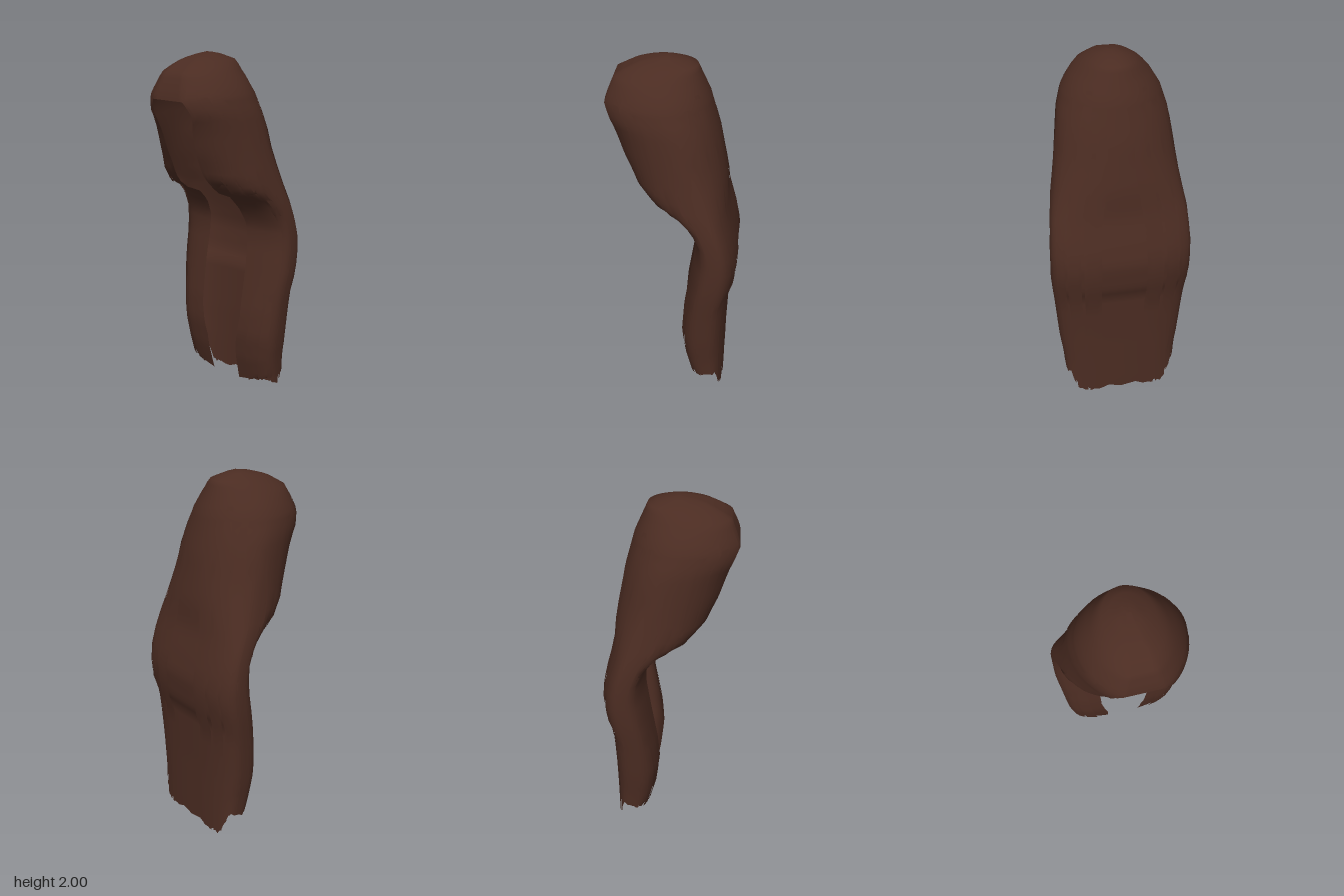
import * as THREE from 'three';
import { toCreasedNormals } from 'three/addons/utils/BufferGeometryUtils.js';

// Profiles as [height, value] pairs, from the crown down
const WIDTH = [[2, 0.02], [1.985, 0.07], [1.95, 0.145], [1.88, 0.21], [1.8, 0.26], [1.7, 0.29], [1.6, 0.305], [1.4, 0.33],
  [1.2, 0.365], [1, 0.38], [0.8, 0.38], [0.6, 0.36], [0.4, 0.345], [0.2, 0.325], [0, 0.315]];
const FRONT = [[2, 0.05], [1.99, 0.12], [1.97, 0.2], [1.91, 0.31], [1.84, 0.34], [1.78, 0.36], [1.68, 0.315], [1.5, 0.26],
  [1.36, 0.2], [1.27, 0.12], [1.22, 0], [1.15, -0.07], [1.05, -0.12], [0.95, -0.12], [0.75, -0.09], [0.55, -0.06],
  [0.4, -0.05], [0.2, -0.07], [0, -0.11]];
const BACK = [[2, 0.04], [1.99, -0.02], [1.96, -0.11], [1.8, -0.18], [1.6, -0.235], [1.35, -0.28], [1.2, -0.29], [1.05, -0.33],
  [0.93, -0.355], [0.76, -0.34], [0.7, -0.31], [0.4, -0.3], [0, -0.295]];
const SQUARENESS = [[1.5, 2], [1.1, 2.8], [0, 3]];
const WIDEST = [[1.9, 0.5], [1.6, 0.42], [1.3, 0.4], [1.1, 0.5]]; // share of the depth, from the back
const OPENING = [[2, 0.01], [1.96, 0.05], [1.78, 0.1], [1.71, 0.14], [1.6, 0.11], [1.4, 0.1], [1.3, 0.12], [1.2, 0.11],
  [1, 0.14], [0.8, 0.15], [0.5, 0.145], [0.3, 0.11], [0, 0.1]];
const HAIRLINE = 1.775;
const OUT = 22, FRINGE = 4;

function at(profile, y) {
  if (y >= profile[0][0]) return profile[0][1];
  for (let i = 1; i < profile.length; i++) {
    const [y0, v0] = profile[i - 1], [y1, v1] = profile[i];
    if (y >= y1) return v1 + (v0 - v1) * (y - y1) / (y0 - y1);
  }
  return profile[profile.length - 1][1];
}

function seeded(seed) {
  return () => (seed = (seed * 16807) % 2147483647) / 2147483647;
}

// Hair surface on the left half: u = 0 at the face opening, 1 at the middle of the back
function outer(u, y, grow = 0) {
  const w = at(WIDTH, y), f = at(FRONT, y), b = at(BACK, y), n = at(SQUARENESS, y), e = 2 / n;
  const edge = Math.asin(Math.pow(at(OPENING, y) / w, n / 2));
  const a = edge + (Math.PI - edge) * u;
  const c = Math.cos(a);
  const x = (w + grow) * Math.pow(Math.max(0, Math.sin(a)), e);
  const mid = b + (f - b) * at(WIDEST, y);
  const z = c > 0
    ? mid + (f - mid + grow) * Math.pow(c / Math.cos(edge), e)
    : mid - (mid - b + grow) * Math.pow(-c, e);
  return [x, z];
}

// Hem rises from the front locks to the sides, then drops to its longest at the back
const hem = u => (u < 0.62 ? 0.075 + 0.1 * u : Math.max(0, 0.137 * (0.73 - u) / 0.11));

// Grid of quads; wrap joins the last column to the first, skip leaves holes
function grid(rows, wrap, skip = () => false) {
  const cols = rows[0].length, index = [], last = wrap ? cols : cols - 1;
  for (let r = 0; r < rows.length - 1; r++) {
    for (let c = 0; c < last; c++) {
      if (skip(r, c)) continue;
      const a = r * cols + c, b = r * cols + (c + 1) % cols;
      index.push(a, a + cols, b, b, a + cols, b + cols);
    }
  }
  const g = new THREE.BufferGeometry();
  g.setAttribute('position', new THREE.Float32BufferAttribute(rows.flat(2), 3));
  g.setIndex(index);
  return g;
}

// One open sheet: closed round the crown, parted at the front below the hairline
function hairBody() {
  const ys = [2, 1.99, 1.975, 1.96, 1.935, 1.91, 1.88, 1.84, 1.8, 1.775];
  for (let y = 1.74; y > 0.02; y -= 0.04) ys.push(y);
  ys.push(0);
  const rand = seeded(77);
  const mirror = list => list.map(([x, y, z]) => [-x, y, z]);
  const rows = ys.map(y => {
    const drop = Math.max(0, 1 - y / 0.35);
    const fringe = [], half = [];
    for (let i = 0; i < FRINGE; i++) fringe.push([at(OPENING, y) * i / FRINGE, y, at(FRONT, y)]);
    for (let i = 0; i <= OUT; i++) {
      const u = i / OUT, [x, z] = outer(u, y);
      half.push([x, y + drop * hem(u) + (y === 0 ? 0.03 * rand() : 0), z]);
    }
    return [...fringe, ...half, ...mirror(half.slice(0, -1)).reverse(), ...mirror(fringe.slice(1)).reverse()];
  });
  rows.unshift(rows[0].map(() => [0, 2, 0.045]));
  const parted = (r, c) => rows[r][0][1] <= HAIRLINE && (c < FRINGE || c >= FRINGE + 2 * OUT);
  return toCreasedNormals(grid(rows, true, parted), 0.9);
}

// Thin lock lying on the hair surface, with a ragged tip
function lock(u0, u1, top, bottom, side, rand) {
  const rows = [], N = 18, M = 4;
  for (let r = 0; r <= N; r++) {
    const t = r / N, row = [];
    const y = top + (bottom - top) * t;
    const lift = 0.001 + 0.006 * Math.sin(Math.PI * Math.min(1, t * 1.5 + 0.05) * 0.5);
    const narrow = t < 0.15 ? 0.5 + t / 0.3 : 1;
    for (let c = 0; c <= M; c++) {
      const u = (u0 + u1) / 2 + (u1 - u0) * (c / M - 0.5) * narrow;
      const [x, z] = outer(u, y, lift);
      const drop = Math.max(0, 1 - y / 0.35) * hem(u);
      row.push([side * x, y + drop + (r === N ? 0.03 * rand() : 0), z]);
    }
    rows.push(row);
  }
  const g = grid(rows, false);
  if (side < 0) g.setIndex(Array.from(g.index.array).reverse());
  g.computeVertexNormals();
  return g;
}

export function createModel() {
  const group = new THREE.Group();
  group.name = 'longHair';
  const brown = new THREE.MeshStandardMaterial({ color: 0x4b2c22, side: THREE.DoubleSide });
  brown.name = 'dark brown hair';
  const add = (geometry, name) => {
    const mesh = new THREE.Mesh(geometry, brown);
    mesh.name = name;
    group.add(mesh);
  };

  add(hairBody(), 'hairBody');

  // Overlapping locks: [start, end, top, bottom]
  const locks = [
    [0.02, 0.12, 1.86, 1.3], [0.1, 0.2, 1.8, 1.27], [0.18, 0.28, 1.85, 1.25], [0.26, 0.34, 1.78, 1.1],
    [0.3, 0.42, 1.6, 0], [0.4, 0.52, 1.65, 0], [0.5, 0.6, 1.5, 0],
    [0.6, 0.7, 1.8, 0], [0.72, 0.82, 1.85, 0], [0.84, 0.93, 1.7, 0],
    [0.08, 0.18, 0.7, 0], [0.2, 0.3, 0.62, 0]
  ];
  const rand = seeded(4321);
  for (const side of [1, -1]) {
    for (const [a, b, top, bottom] of locks) {
      add(lock(a, b, top, bottom, side, rand), side > 0 ? 'leftLock' : 'rightLock');
    }
  }
  return group;
}
